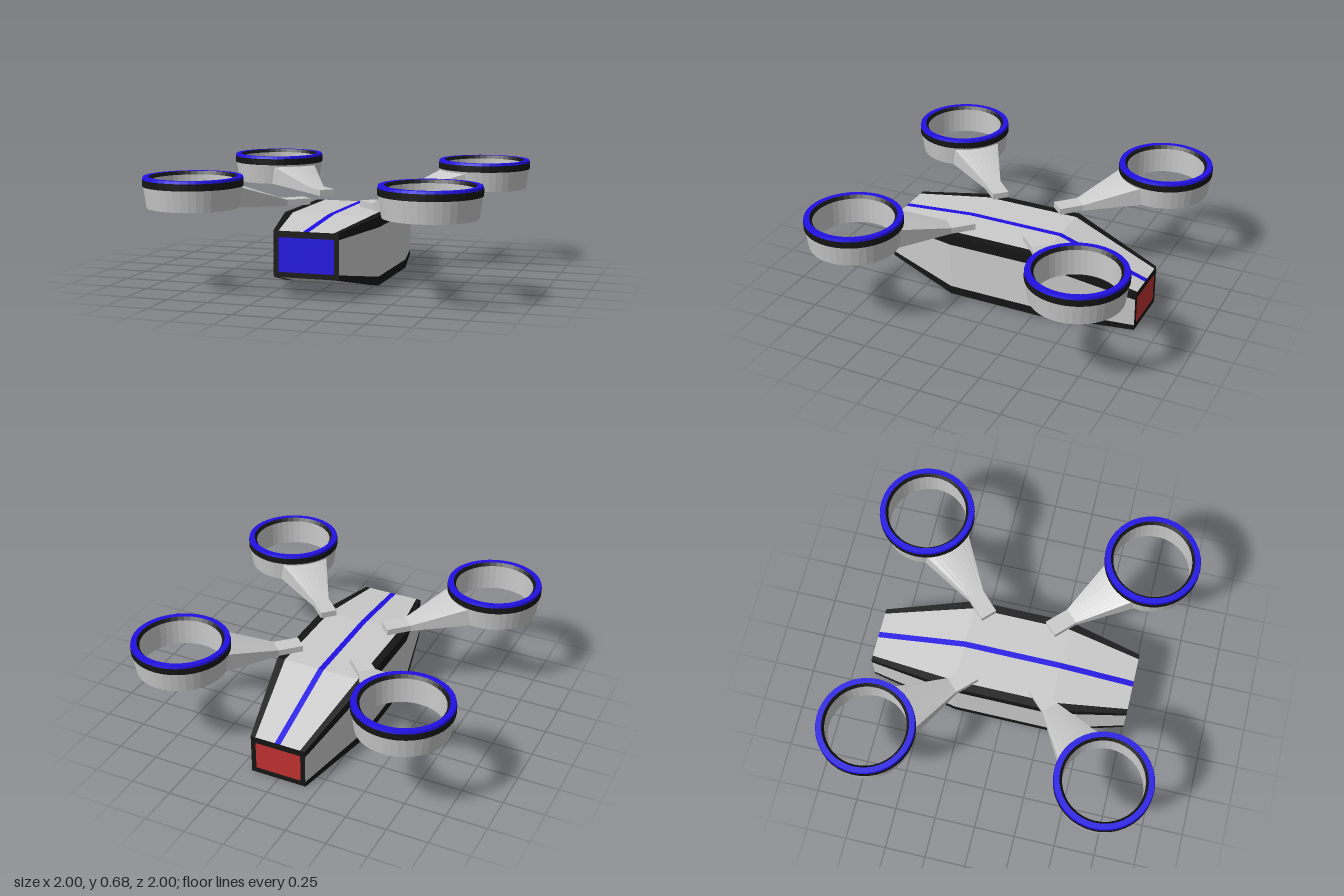
import * as THREE from 'three';

const mat = (color) => new THREE.MeshStandardMaterial({ color, flatShading: true });
const grey = mat(0xcccccc), black = mat(0x151515), blue = mat(0x2010e4), red = mat(0xc03030);

function add(parent, name, geometry, material) {
  const mesh = new THREE.Mesh(geometry, material);
  mesh.name = name;
  parent.add(mesh);
  return mesh;
}

// Hull stations, nose to tail: half width w, bottom y0, top y1, and inset panel limits
const stations = [
  { z: 0.755, w: 0.195, iw: 0.165, y0: 0.12, iy0: 0.15, iy1: 0.35, y1: 0.387 },
  { z: 0.3, w: 0.293, iw: 0.243, y0: 0.012, iy0: 0.065, iy1: 0.36, y1: 0.425 },
  { z: -0.3, w: 0.293, iw: 0.243, y0: 0.012, iy0: 0.065, iy1: 0.36, y1: 0.425 },
  { z: -0.86, w: 0.175, iw: 0.145, y0: 0, iy0: 0.033, iy1: 0.21, y1: 0.25 },
];
const STRIPE = 0.018;

// Outline of one station, counter-clockwise seen from the nose
function outline({ w, iw, y0, iy0, iy1, y1 }) {
  const right = [[iw, y0], [w, y0], [w, iy0], [w, iy1], [w, y1], [iw, y1], [STRIPE, y1]];
  return [...right, ...right.slice().reverse().map(([x, y]) => [-x, y])];
}

// Skin between outline points a..b along all stations
function skin(a, b) {
  const pos = [];
  for (let s = 0; s < stations.length - 1; s++) {
    const front = outline(stations[s]), back = outline(stations[s + 1]);
    for (let i = a; i < b; i++) {
      const j = (i + 1) % 14;
      const f0 = [...front[i], stations[s].z], f1 = [...front[j], stations[s].z];
      const b0 = [...back[i], stations[s + 1].z], b1 = [...back[j], stations[s + 1].z];
      pos.push(...f0, ...b0, ...f1, ...f1, ...b0, ...b1);
    }
  }
  const g = new THREE.BufferGeometry();
  g.setAttribute('position', new THREE.Float32BufferAttribute(pos, 3));
  g.computeVertexNormals();
  return g;
}

const rect = (w, y0, y1) => [[-w, y0], [w, y0], [w, y1], [-w, y1]].map(([x, y]) => new THREE.Vector2(x, y));

// End cap: black frame around a coloured panel
function endCap(parent, name, s, material, turn) {
  const cap = new THREE.Group();
  cap.name = name;
  const frame = new THREE.Shape(rect(s.w, s.y0, s.y1));
  frame.holes.push(new THREE.Path(rect(s.iw, s.iy0, s.iy1).reverse()));
  add(cap, name + 'Frame', new THREE.ShapeGeometry(frame), black);
  add(cap, name + 'Panel', new THREE.ShapeGeometry(new THREE.Shape(rect(s.iw, s.iy0, s.iy1))), material);
  cap.position.z = s.z;
  cap.rotation.y = turn;
  parent.add(cap);
}

function createHull() {
  const hull = new THREE.Group();
  hull.name = 'hull';
  const parts = [
    ['lowerLeftEdge', 0, 2, black], ['leftPanel', 2, 3, grey], ['upperLeftEdge', 3, 5, black],
    ['topLeftPanel', 5, 6, grey], ['topStripe', 6, 7, blue], ['topRightPanel', 7, 8, grey],
    ['upperRightEdge', 8, 10, black], ['rightPanel', 10, 11, grey],
    ['lowerRightEdge', 11, 13, black], ['bottomPanel', 13, 14, grey],
  ];
  for (const [name, a, b, m] of parts) add(hull, name, skin(a, b), m);
  endCap(hull, 'nose', stations[0], blue, 0);
  endCap(hull, 'tail', stations[3], red, Math.PI);
  return hull;
}

const lathe = (pts) => new THREE.LatheGeometry(pts.map(([r, y]) => new THREE.Vector2(r, y)), 40);

// Arm along +x: flat root block, then flaring to meet the curved ring wall
function armGeometry() {
  const g = new THREE.BoxGeometry(2, 1, 2, 2, 1, 8);
  const p = g.attributes.position;
  for (let i = 0; i < p.count; i++) {
    const end = Math.round(p.getX(i)), up = p.getY(i) > 0, side = p.getZ(i);
    const z = side * (end === 1 ? 0.157 : 0.051);
    const x = end === 1 ? 1 - Math.sqrt(0.262 ** 2 - z * z) : end === 0 ? 0.424 : 0.272;
    const y = end === 1 ? (up ? 0.617 : 0.497) : (up ? 0.505 : 0.467);
    p.setXYZ(i, x, y, z);
  }
  g.computeVertexNormals();
  return g;
}

// Rotor ring and its arm, pointing along +x
function createRotorArm() {
  const unit = new THREE.Group();
  unit.name = 'rotorArm';
  add(unit, 'arm', armGeometry(), grey);
  const ring = new THREE.Group();
  ring.name = 'rotorRing';
  ring.position.x = 1;
  add(ring, 'duct', lathe([[0.24, 0.655], [0.24, 0.495], [0.27, 0.495], [0.288, 0.62]]), grey);
  add(ring, 'outerBand', lathe([[0.288, 0.62], [0.292, 0.62], [0.292, 0.66]]), black);
  add(ring, 'topRim', lathe([[0.292, 0.66], [0.288, 0.675], [0.255, 0.675]]), blue);
  add(ring, 'innerLip', lathe([[0.255, 0.675], [0.24, 0.655]]), black);
  unit.add(ring);
  return unit;
}

export function createModel() {
  const model = new THREE.Group();
  model.name = 'quadRotorCraft';
  model.add(createHull());
  for (let i = 0; i < 4; i++) {
    const unit = createRotorArm();
    unit.rotation.y = Math.PI / 4 + i * Math.PI / 2;
    model.add(unit);
  }
  return model;
}
